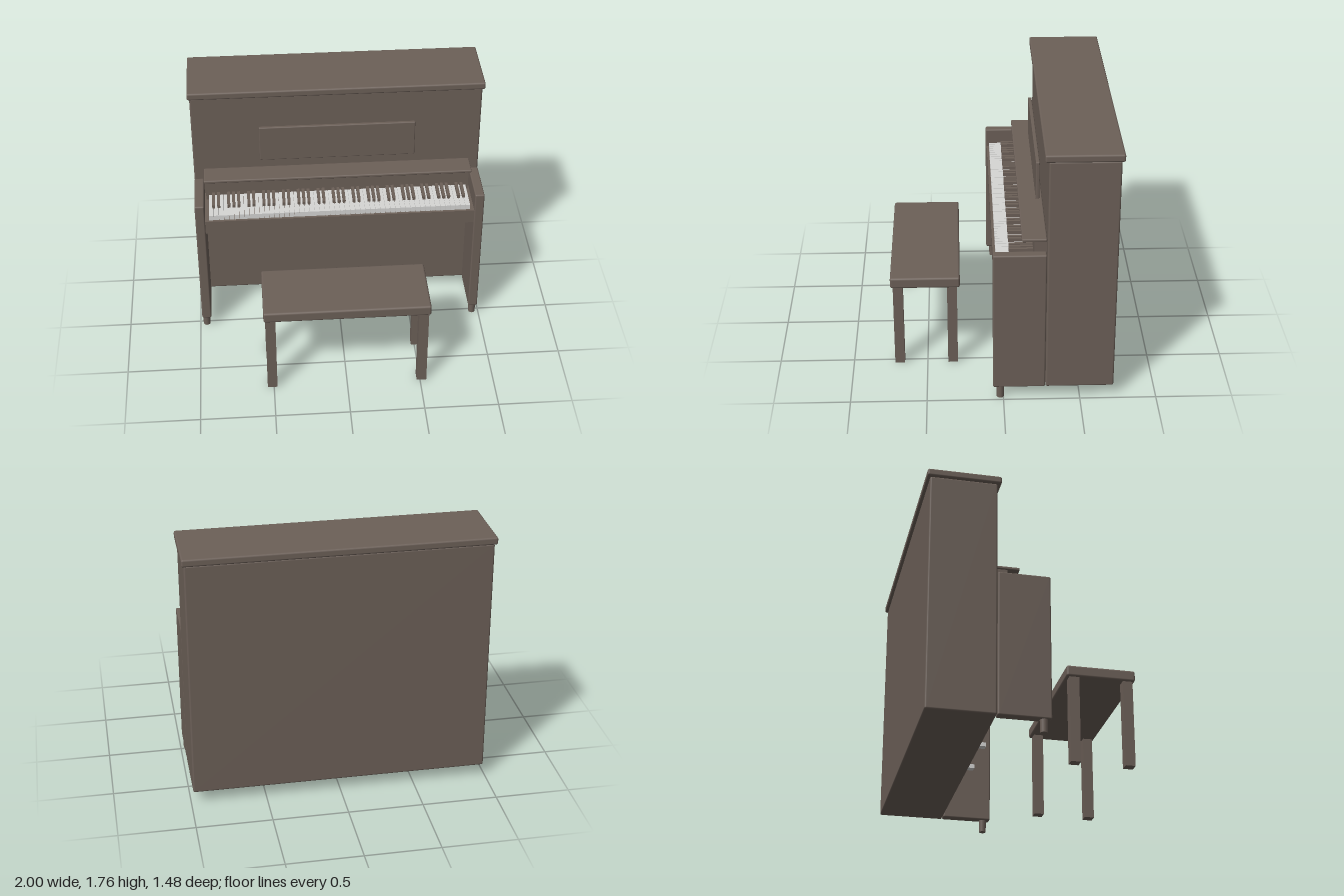
import * as THREE from 'three';
import { RoundedBoxGeometry } from 'three/addons/geometries/RoundedBoxGeometry.js';

const wood = new THREE.MeshStandardMaterial({ color: 0x6c6058 });
wood.name = 'brown wood';
const ivory = new THREE.MeshStandardMaterial({ color: 0xd6d6d4 });
ivory.name = 'ivory white';

// Box given by its minimum and maximum on each axis; a radius softens the edges
function box(parent, name, material, [x0, x1], [y0, y1], [z0, z1], radius = 0) {
  const size = [x1 - x0, y1 - y0, z1 - z0];
  const geometry = radius
    ? new RoundedBoxGeometry(...size, 2, radius)
    : new THREE.BoxGeometry(...size);
  const mesh = new THREE.Mesh(geometry, material);
  mesh.name = name;
  mesh.position.set((x0 + x1) / 2, (y0 + y1) / 2, (z0 + z1) / 2);
  parent.add(mesh);
  return mesh;
}

function group(parent, name) {
  const g = new THREE.Group();
  g.name = name;
  parent.add(g);
  return g;
}

function buildCase(parent) {
  const g = group(parent, 'case');
  box(g, 'body', wood, [-0.985, 0.985], [0.085, 1.71], [-0.72, -0.275], 0.012);
  box(g, 'lid', wood, [-1, 1], [1.71, 1.76], [-0.738, -0.25], 0.012);
  box(g, 'musicDesk', wood, [-0.53, 0.53], [1.23, 1.49], [-0.245, -0.221], 0.006);

  // Side arms, each on a short round foot
  for (const side of [-1, 1]) {
    const arm = box(g, 'arm', wood, [-0.0325, 0.0325], [0.085, 1.065], [-0.272, 0.068], 0.01);
    arm.position.x = side * 0.9525;
    const foot = new THREE.Mesh(new THREE.CylinderGeometry(0.026, 0.024, 0.09, 12), wood);
    foot.name = 'foot';
    foot.position.set(side * 0.955, 0.045, 0.02);
    g.add(foot);
  }

  // Pedals
  for (const x of [-0.245, 0.155]) {
    box(g, 'pedal', ivory, [x - 0.024, x + 0.024], [0.165, 0.192], [-0.28, -0.2]);
  }
}

function buildKeyboard(parent) {
  const g = group(parent, 'keyboard');
  box(g, 'keybed', wood, [-0.92, 0.92], [0.835, 0.935], [-0.275, 0.062]);
  box(g, 'fallboard', wood, [-0.91, 0.91], [0.935, 1.125], [-0.275, -0.195]);
  box(g, 'keyCover', wood, [-0.918, 0.918], [1.123, 1.145], [-0.275, -0.117], 0.008);

  // 52 white keys; dark keys sit on the joints in groups of two and three
  const count = 52;
  const left = -0.893;
  const step = (2 * 0.893) / count;
  for (let i = 0; i < count; i++) {
    const x = left + i * step;
    box(g, 'whiteKey', ivory, [x + 0.001, x + step - 0.001], [0.935, 0.972], [-0.195, 0.045]);
    if (i > 0 && i % 7 !== 0 && i % 7 !== 3) {
      box(g, 'darkKey', wood, [x - 0.01, x + 0.01], [0.96, 0.995], [-0.195, -0.04]);
    }
  }
}

function buildBench(parent) {
  const g = group(parent, 'bench');
  box(g, 'seat', wood, [-0.556, 0.556], [0.59, 0.665], [0.275, 0.738], 0.014);
  for (const x of [-0.51, 0.51]) {
    for (const z of [0.328, 0.688]) {
      box(g, 'benchLeg', wood, [x - 0.033, x + 0.033], [0, 0.6], [z - 0.033, z + 0.033]);
    }
  }
}

export function createModel() {
  const model = new THREE.Group();
  model.name = 'uprightPianoWithBench';
  buildCase(model);
  buildKeyboard(model);
  buildBench(model);
  return model;
}
